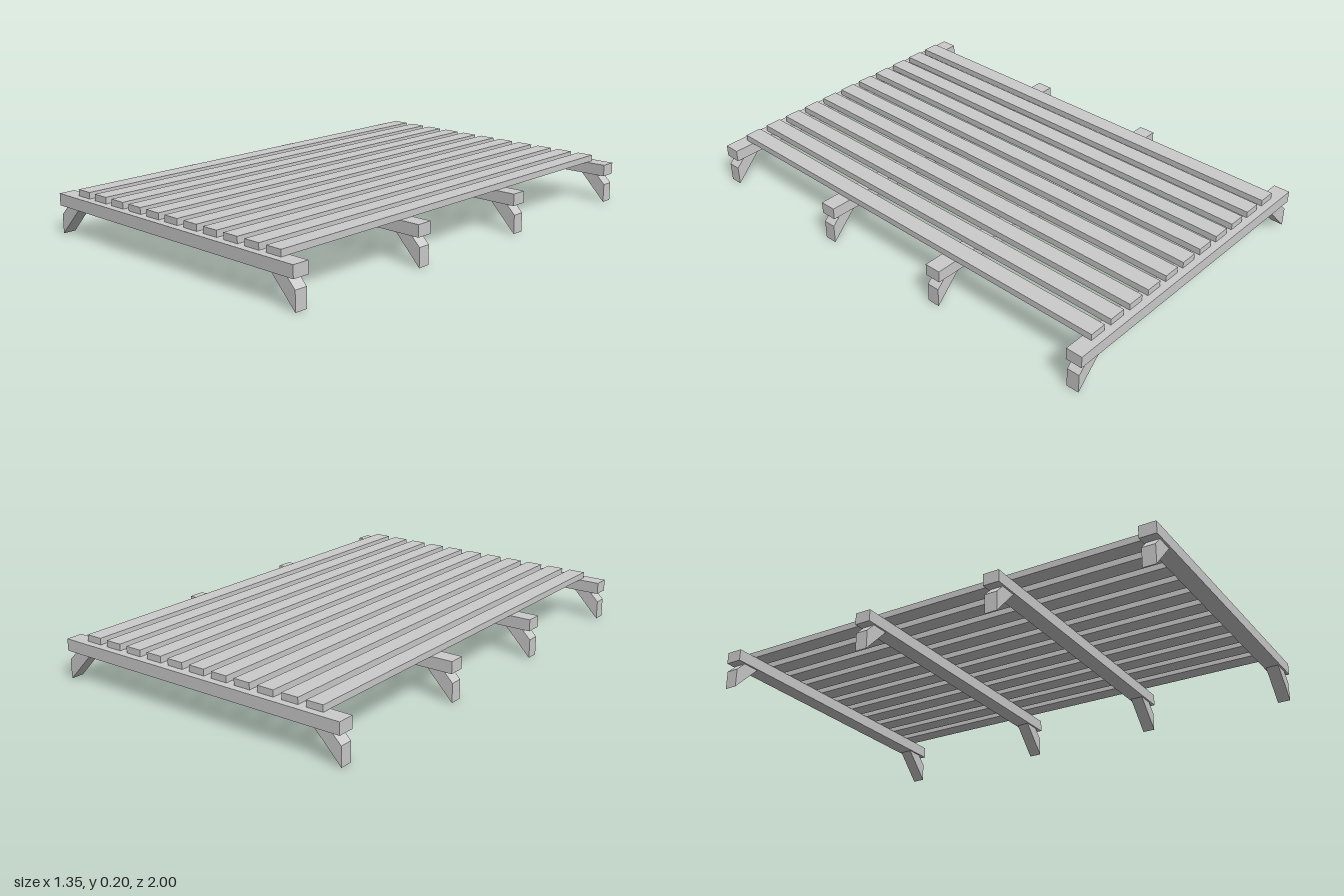
import * as THREE from 'three';

export function createModel() {
  const model = new THREE.Group();
  const material = new THREE.MeshStandardMaterial({ color: 0xcccccc, flatShading: true });

  function add(name, geometry, x, y, z) {
    const mesh = new THREE.Mesh(geometry, material);
    mesh.name = name;
    mesh.position.set(x, y, z);
    model.add(mesh);
  }

  // Long slats laid side by side along the depth
  const slatGeometry = new THREE.BoxGeometry(0.073, 0.027, 1.94);
  for (let i = -5; i <= 5; i++) {
    add('slat', slatGeometry, 0.002 + i * 0.1097, 0.1835, 0);
  }

  // Slanted foot, mitred flat under the beam and flush with its end
  const footWidth = 0.054;
  function footGeometry(side) {
    const outline = new THREE.Shape([
      [0.675, 0], [0.675, 0.08], [0.635, 0.12], [0.558, 0.12],
    ].map(([x, y]) => new THREE.Vector2(side * x, y)));
    return new THREE.ExtrudeGeometry(outline, { depth: footWidth, bevelEnabled: false });
  }
  const footLeft = footGeometry(1);
  const footRight = footGeometry(-1);

  // Cross beams, each with a foot at both ends
  const beamGeometry = new THREE.BoxGeometry(1.35, 0.05, 0.07);
  for (const z of [-0.965, -0.276, 0.325, 0.965]) {
    add('crossBeam', beamGeometry, 0, 0.145, z);
    add('footLeft', footLeft, 0, 0, z - footWidth / 2);
    add('footRight', footRight, 0, 0, z - footWidth / 2);
  }

  return model;
}
